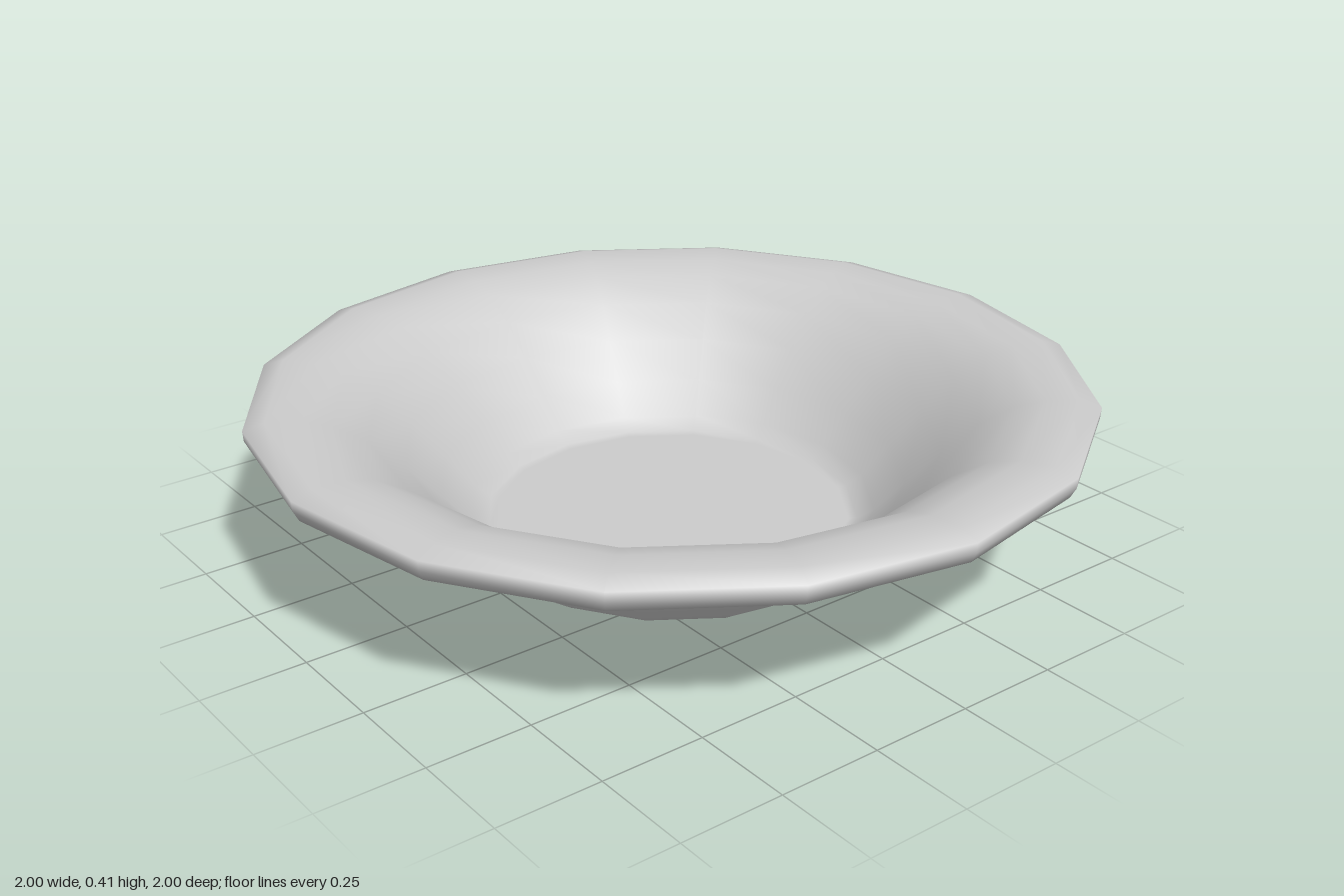
import * as THREE from 'three';

const SIDES = 16;

// Closed wall section as [radius, height], from the base centre round the rim to the inner floor
const outerWall = [
  [0, 0], [0.38, 0], [0.41, 0.002], [0.46, 0.015], [0.52, 0.057], [0.6, 0.137],
  [0.68, 0.222], [0.76, 0.295], [0.83, 0.333], [0.88, 0.34],
];
const rim = [[0.985, 0.34], [0.998, 0.365], [1, 0.39], [0.95, 0.405]];
const innerWall = [
  [0.87, 0.4], [0.8, 0.38], [0.72, 0.33], [0.64, 0.255], [0.56, 0.17],
  [0.49, 0.095], [0.45, 0.069], [0.43, 0.065], [0, 0.065],
];

export function createModel() {
  const group = new THREE.Group();
  group.name = 'dish';

  // One smooth-shaded turned solid with sixteen sides
  const profile = [...outerWall, ...rim, ...innerWall].map(([r, y]) => new THREE.Vector2(r, y));
  const bowl = new THREE.Mesh(
    new THREE.LatheGeometry(profile, SIDES),
    new THREE.MeshStandardMaterial({ color: 0xcccccc })
  );
  bowl.name = 'bowl';
  group.add(bowl);
  return group;
}
